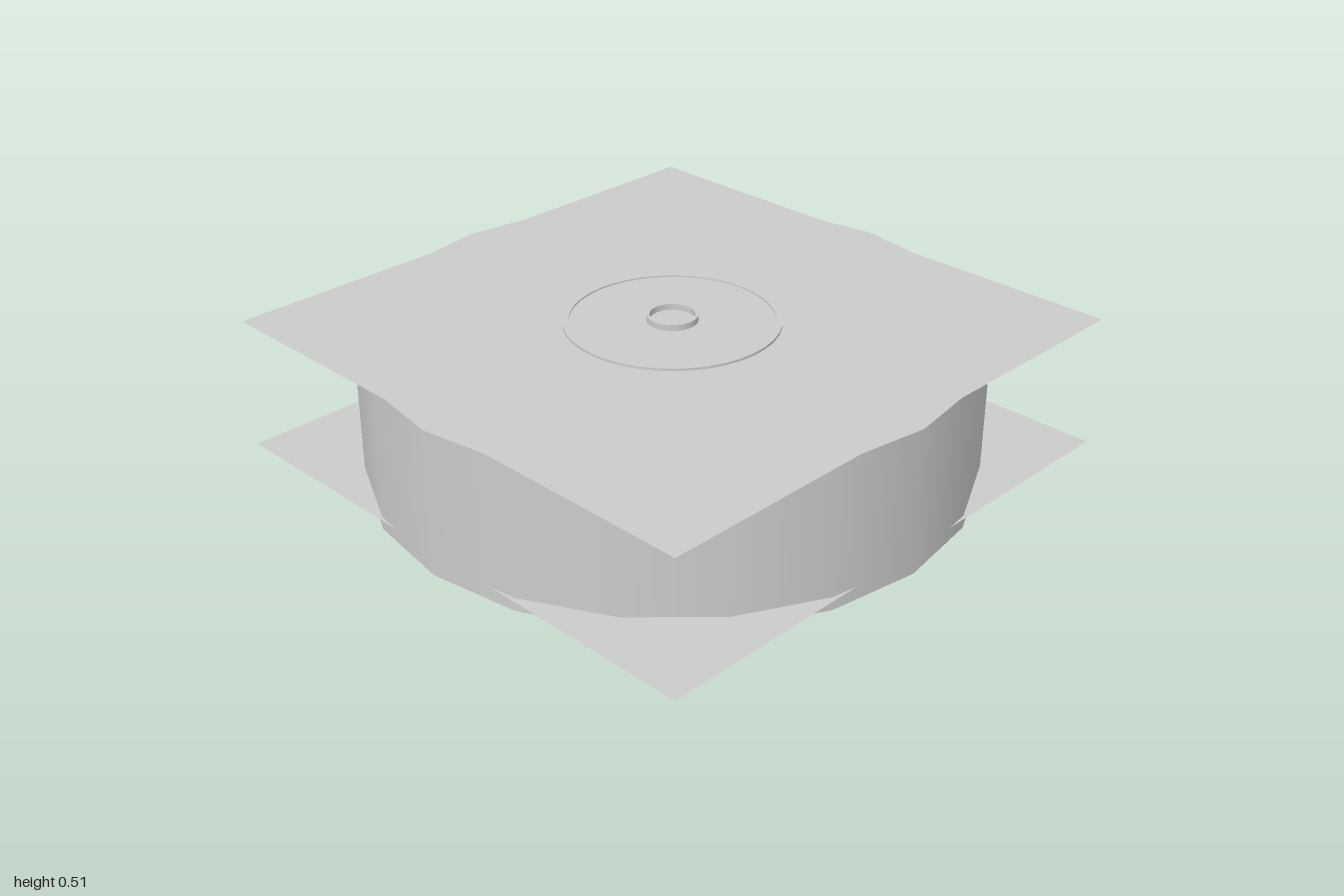
import * as THREE from 'three';

const material = new THREE.MeshStandardMaterial({ color: 0xcccccc, side: THREE.DoubleSide });
const TOP = 0.49, FLOOR = 0.045, HALF = 0.965;

export function createModel() {
  const model = new THREE.Group();

  function add(name, geometry, x = 0, y = 0, z = 0, parent = model) {
    const mesh = new THREE.Mesh(geometry, material);
    mesh.name = name;
    mesh.position.set(x, y, z);
    parent.add(mesh);
    return mesh;
  }

  // Turned part: one strip per profile segment keeps the profile corners sharp
  function turned(name, profile, segments) {
    const group = new THREE.Group();
    group.name = name;
    for (let i = 0; i < profile.length - 1; i++) {
      const points = [profile[i], profile[i + 1]].map(([r, y]) => new THREE.Vector2(r, y));
      add(name + 'Face', new THREE.LatheGeometry(points, segments), 0, 0, 0, group);
    }
    model.add(group);
  }

  // Flat outline in (x, z), standing slightly proud of the recessed floor
  function floorRelief(name, shape) {
    const geometry = new THREE.ExtrudeGeometry(shape, { depth: 0.012, bevelEnabled: false, curveSegments: 16 });
    geometry.rotateX(Math.PI / 2);
    add(name, geometry, 0, FLOOR, 0);
  }

  // Drum with a recessed underside
  turned('drum', [[0.896, FLOOR], [0.896, 0], [1, 0], [1, TOP - 0.001], [0, TOP - 0.001]], 20);

  // Thin square sheets across the top and the recessed floor
  for (const [name, y] of [['topSheet', TOP], ['bottomSheet', FLOOR]]) {
    add(name, new THREE.PlaneGeometry(HALF * 2, HALF * 2).rotateX(-Math.PI / 2), 0, y, 0);
  }

  // Low raised ring and hollow hub on the top
  turned('topRing', [[0.35, TOP], [0.35, 0.498], [0.33, 0.498], [0.33, 0.493], [0, 0.493]], 40);
  turned('hub', [[0.083, TOP], [0.083, 0.514], [0.073, 0.514], [0.073, 0.493]], 32);

  // Four radial ribs with a short crossbar at the inner end
  for (let i = 0; i < 4; i++) {
    const rib = new THREE.Group();
    rib.name = 'floorRib';
    add('ribBar', new THREE.BoxGeometry(0.55, 0.012, 0.03), 0.605, FLOOR - 0.006, 0, rib);
    add('ribCrossbar', new THREE.BoxGeometry(0.03, 0.012, 0.22), 0.32, FLOOR - 0.006, 0, rib);
    rib.rotation.y = i * Math.PI / 2;
    model.add(rib);
  }

  // Central boss
  add('floorBoss', new THREE.CylinderGeometry(0.075, 0.075, 0.012, 24), 0, FLOOR - 0.006, 0);

  // Curved band near the rim
  const band = new THREE.Shape();
  const start = Math.PI + 0.23, end = Math.PI * 1.5 - 0.27;
  band.absarc(0, 0, 0.87, start, end, false);
  band.absarc(0, 0, 0.8, end, start, true);
  floorRelief('curvedBand', band);

  // Half-round pad beside one rib
  const pad = new THREE.Shape();
  pad.absarc(-0.54, 0, 0.14, Math.PI, Math.PI * 2, false);
  floorRelief('halfRoundPad', pad);

  return model;
}
